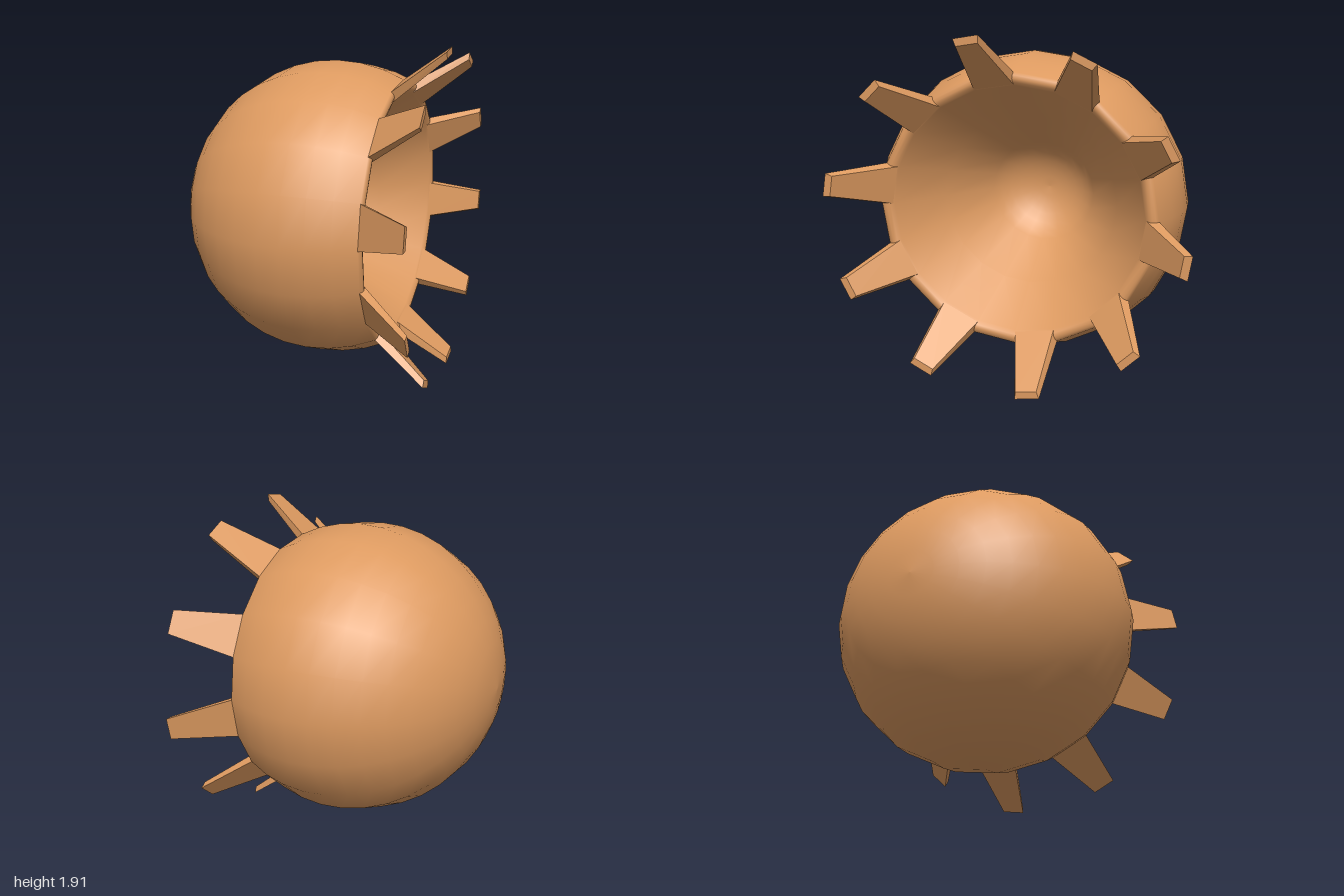
import * as THREE from 'three';
import { ConvexGeometry } from 'three/addons/geometries/ConvexGeometry.js';

const SIDES = 20, STEP = (2 * Math.PI) / SIDES;
const DEPTH = 1.045; // the ring sections are slightly oval along z
const CENTRE_X = 0.085, RADIUS = 0.85;
const RIM_X = 0.475, RIM_OUTER = 0.755, RIM_INNER = 0.69;
const TIP_X = 0.76, TIP_OUTER = 0.955, TIP_INNER = 0.915;

// Circular arc in the bowl's section, angles measured from the opening direction
function arc(centre, radius, from, to, rings) {
  return Array.from({ length: rings + 1 }, (_, i) => {
    const a = from + (to - from) * (i / rings);
    return new THREE.Vector2(Math.abs(radius * Math.sin(a)), centre + radius * Math.cos(a));
  });
}

// One tapered tooth standing on a rim segment and flaring outwards
function toothGeometry(angle) {
  const corners = [];
  const add = (x, r, t, a) => corners.push(new THREE.Vector3(
    x,
    r * Math.cos(a) - t * Math.sin(a),
    (r * Math.sin(a) + t * Math.cos(a)) * DEPTH));
  for (const s of [-1, 1]) {
    const edge = angle + s * STEP / 2;
    add(RIM_X, RIM_OUTER, 0, edge);
    add(RIM_X, RIM_INNER, 0, edge);
    add(TIP_X, TIP_OUTER, s * 0.065, angle);
    add(TIP_X, TIP_INNER, s * 0.057, angle);
  }
  return new ConvexGeometry(corners);
}

export function createModel() {
  const model = new THREE.Group();
  model.name = 'toothedBowl';
  const material = new THREE.MeshStandardMaterial({ color: 0xdd9a60 });

  // Ball-shaped outside, rounded rim, funnel-shaped hollow with a round bottom
  const rimAngle = Math.atan2(RIM_OUTER, RIM_X - CENTRE_X);
  const rim = [[0.74, 0.485], [0.722, 0.489], [0.703, 0.484], [0.685, 0.465]];
  const profile = [
    ...arc(CENTRE_X, RADIUS, Math.PI, rimAngle, 13),
    ...rim.map(([r, x]) => new THREE.Vector2(r, x)),
    new THREE.Vector2(0.49, 0.19),
    ...arc(0.125, 0.366, Math.PI * 0.694, Math.PI, 6),
  ];
  const shell = new THREE.LatheGeometry(profile, SIDES).rotateZ(-Math.PI / 2).scale(1, 1, DEPTH);
  const bowl = new THREE.Mesh(shell, material);
  bowl.name = 'bowl';
  model.add(bowl);

  // Teeth on every second rim segment
  const teeth = new THREE.Group();
  teeth.name = 'teeth';
  for (let i = 0; i < SIDES / 2; i++) {
    const tooth = new THREE.Mesh(toothGeometry((2 * i + 0.5) * STEP), material);
    tooth.name = 'tooth';
    teeth.add(tooth);
  }
  model.add(teeth);

  model.position.y = 0.965;
  return model;
}
